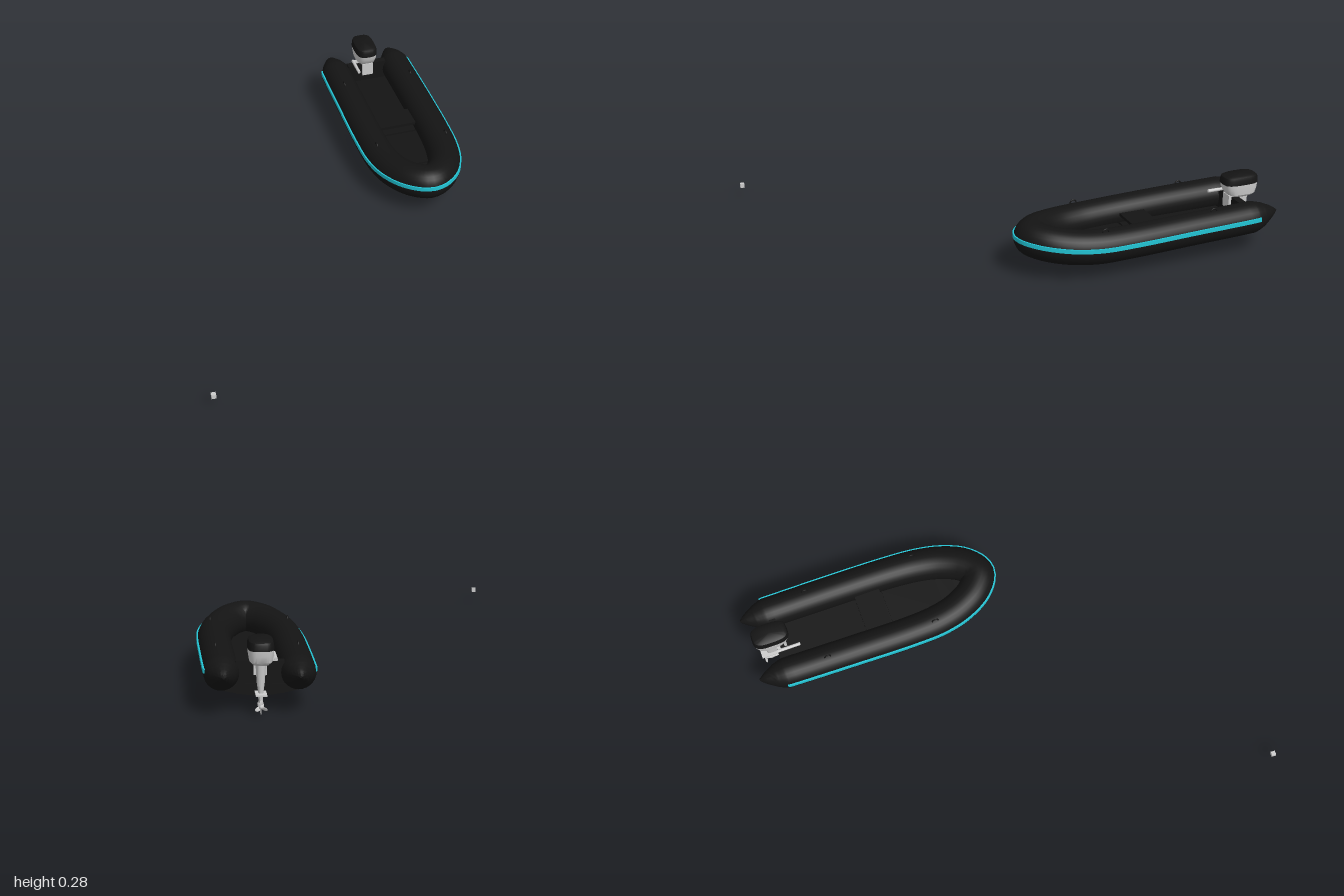
import * as THREE from 'three';
import { toCreasedNormals } from 'three/addons/utils/BufferGeometryUtils.js';

const black = new THREE.MeshStandardMaterial({ color: 0x141414 });
const teal = new THREE.MeshStandardMaterial({ color: 0x22c4d4 });
const grey = new THREE.MeshStandardMaterial({ color: 0xcccccc });

// Skin closed cross-sections (counter-clockwise about the path), with capped ends
function loft(rings, crease = 0.6) {
  const centre = (r) => {
    const c = r.reduce((s, p) => s.add(p), new THREE.Vector3()).divideScalar(r.length);
    return r.map(() => c);
  };
  const all = [centre(rings[0]), ...rings, centre(rings[rings.length - 1])];
  const n = rings[0].length, pos = [], idx = [];
  all.forEach((r) => r.forEach((p) => pos.push(p.x, p.y, p.z)));
  for (let i = 0; i < all.length - 1; i++) {
    for (let j = 0; j < n; j++) {
      const a = i * n + j, b = i * n + (j + 1) % n, c = b + n, d = a + n;
      if (i > 0) idx.push(a, b, c);
      else idx.push(b, c, d);
      if (i > 0 && i < all.length - 2) idx.push(a, c, d);
    }
  }
  const g = new THREE.BufferGeometry();
  g.setAttribute('position', new THREE.Float32BufferAttribute(pos, 3));
  g.setIndex(idx);
  return toCreasedNormals(g, crease);
}

// Vertical loft of rounded-rectangle levels [y, halfWidth, halfDepth, z]
function column(levels, power = 0.6, n = 28) {
  const f = (v) => Math.sign(v) * Math.abs(v) ** power;
  return loft(levels.map(([y, w, d, z]) => Array.from({ length: n }, (_, j) => {
    const a = (j / n) * Math.PI * 2;
    return new THREE.Vector3(w * f(Math.sin(a)), y, z + d * f(Math.cos(a)));
  })));
}

// Half of the tube centre line, stern tip to bow: x, y, z, radius
const half = [
  [0.14, 0.16, 0, 0.004], [0.141, 0.158, 0.025, 0.024], [0.142, 0.152, 0.07, 0.051],
  [0.143, 0.149, 0.115, 0.066], [0.146, 0.143, 0.4, 0.067], [0.145, 0.135, 0.68, 0.068],
  [0.136, 0.133, 0.8, 0.07], [0.112, 0.138, 0.9, 0.071], [0.064, 0.148, 0.988, 0.072],
  [0, 0.153, 1.03, 0.072],
];
const full = [...half, ...half.slice(0, -1).reverse().map(([x, y, z, r]) => [-x, y, z, r])];
const path = new THREE.CatmullRomCurve3(full.map(([x, y, z]) => new THREE.Vector3(x, y, z)));

// Sweep section(radius) -> [[outward, up], ...] along the tube centre line
function sweep(section, from, to, steps) {
  const up = new THREE.Vector3(0, 1, 0);
  return loft(Array.from({ length: steps + 1 }, (_, i) => {
    const t = from + (to - from) * i / steps;
    const k = Math.min(Math.floor(t * (full.length - 1)), full.length - 2);
    const r = THREE.MathUtils.lerp(full[k][3], full[k + 1][3], t * (full.length - 1) - k);
    const c = path.getPoint(t);
    const side = new THREE.Vector3().crossVectors(up, path.getTangent(t)).setY(0).normalize();
    return section(r).map(([s, u]) => c.clone().addScaledVector(side, s).addScaledVector(up, u));
  }), 0.8);
}

export function createModel() {
  const model = new THREE.Group();
  const boat = new THREE.Group();
  boat.name = 'inflatableBoat';
  boat.rotation.set(0, 0.048, 0.015, 'YXZ');
  boat.position.set(0.413, 0, -0.992);
  model.add(boat);

  const add = (parent, name, geo, mat, x = 0, y = 0, z = 0) => {
    const m = new THREE.Mesh(geo, mat);
    m.name = name;
    m.position.set(x, y, z);
    parent.add(m);
    return m;
  };
  const box = (w, h, d) => new THREE.BoxGeometry(w, h, d);

  // Buoyancy tube with pointed stern ends, and the rubbing strip around it
  const circle = (r) => Array.from({ length: 28 }, (_, j) => {
    const a = (j / 28) * Math.PI * 2;
    return [r * Math.cos(a), r * Math.sin(a)];
  });
  add(boat, 'buoyancyTube', sweep(circle, 0, 1, 108), black);
  const strip = (r) => [[r - 0.012, 0.003], [r + 0.003, 0.003], [r + 0.003, 0.02], [r - 0.012, 0.02]];
  add(boat, 'rubbingStrip', sweep(strip, 0.158, 0.842, 72), teal);

  // V-shaped hull whose top is the floor: z, half width, keel y, chine y
  const stations = [
    [0.11, 0.14, 0.06, 0.084], [0.5, 0.145, 0.048, 0.075], [0.78, 0.135, 0.038, 0.066],
    [0.85, 0.122, 0.038, 0.068], [0.92, 0.1, 0.052, 0.073], [0.98, 0.065, 0.073, 0.085],
    [1.03, 0.02, 0.097, 0.102],
  ];
  add(boat, 'hull', loft(stations.map(([z, w, k, c]) => [
    [0, k], [w * 0.55, k + (c - k) * 0.45], [w, c], [w, 0.108],
    [-w, 0.108], [-w, c], [-w * 0.55, k + (c - k) * 0.45],
  ].map(([x, y]) => new THREE.Vector3(x, y, z)))), black);

  // Floor boards, bench and transom
  for (const [z, d] of [[0.32, 0.33], [0.55, 0.11], [0.73, 0.23]]) {
    add(boat, 'floorBoard', box(0.17, 0.008, d), black, 0, 0.111, z);
  }
  add(boat, 'bench', box(0.19, 0.012, 0.11), black, 0, 0.15, 0.55);
  add(boat, 'transom', box(0.18, 0.125, 0.03), black, 0, 0.132, 0.13);

  // Grab handles on top of the tubes
  for (const s of [-1, 1]) {
    for (const [z, y] of [[0.3, 0.209], [0.78, 0.201]]) {
      const h = add(boat, 'grabHandle', new THREE.TorusGeometry(0.013, 0.003, 8, 16, Math.PI), black, s * 0.158, y, z);
      h.rotation.y = Math.PI / 2;
    }
  }

  // Outboard motor: cowl, leg, gearcase, propeller, clamp and tiller
  const motor = new THREE.Group();
  motor.name = 'outboardMotor';
  boat.add(motor);
  add(motor, 'lowerCowl', column([
    [0.192, 0.03, 0.046, 0.092], [0.204, 0.043, 0.062, 0.095], [0.23, 0.047, 0.073, 0.099], [0.25, 0.048, 0.076, 0.1],
  ]), grey);
  add(motor, 'topCowl', column([
    [0.25, 0.049, 0.078, 0.1], [0.27, 0.048, 0.077, 0.1], [0.28, 0.045, 0.073, 0.1], [0.286, 0.036, 0.062, 0.1],
  ]), black);
  add(motor, 'leg', column([
    [0.04, 0.008, 0.022, 0.09], [0.085, 0.01, 0.024, 0.09], [0.12, 0.015, 0.028, 0.092], [0.2, 0.02, 0.036, 0.094],
  ], 0.8, 20), grey);
  add(motor, 'splashPlate', box(0.042, 0.005, 0.085), grey, 0, 0.08, 0.082);
  const pod = [[0, -0.042], [0.008, -0.04], [0.012, -0.015], [0.012, 0.015], [0.007, 0.034], [0, 0.04]];
  const gear = add(motor, 'gearcase', new THREE.LatheGeometry(pod.map(([r, y]) => new THREE.Vector2(r, y)), 16), grey, 0, 0.034, 0.088);
  gear.rotation.x = Math.PI / 2;
  add(motor, 'skeg', column([[0.002, 0.002, 0.01, 0.078], [0.03, 0.004, 0.024, 0.09]], 1, 12), grey);
  for (let i = 0; i < 3; i++) {
    const pivot = new THREE.Group();
    pivot.name = 'propellerBlade';
    pivot.position.set(0, 0.034, 0.053);
    pivot.rotation.z = (i * Math.PI * 2) / 3;
    motor.add(pivot);
    const blade = add(pivot, 'blade', new THREE.SphereGeometry(1, 12, 8), grey, 0, 0.014, 0);
    blade.scale.set(0.009, 0.012, 0.002);
    blade.rotation.y = 0.6;
  }
  add(motor, 'clampBracket', box(0.05, 0.06, 0.05), grey, 0, 0.172, 0.132);
  const tiller = add(motor, 'tiller', new THREE.CylinderGeometry(0.007, 0.007, 0.1, 12), grey, -0.058, 0.2, 0.16);
  tiller.rotation.x = Math.PI / 2;
  add(motor, 'tillerArm', box(0.04, 0.012, 0.014), grey, -0.042, 0.2, 0.12);

  // Small separate block lying ahead of the boat
  add(model, 'smallBlock', box(0.018, 0.018, 0.018), grey, -0.66, 0.056, 0.991);
  return model;
}
